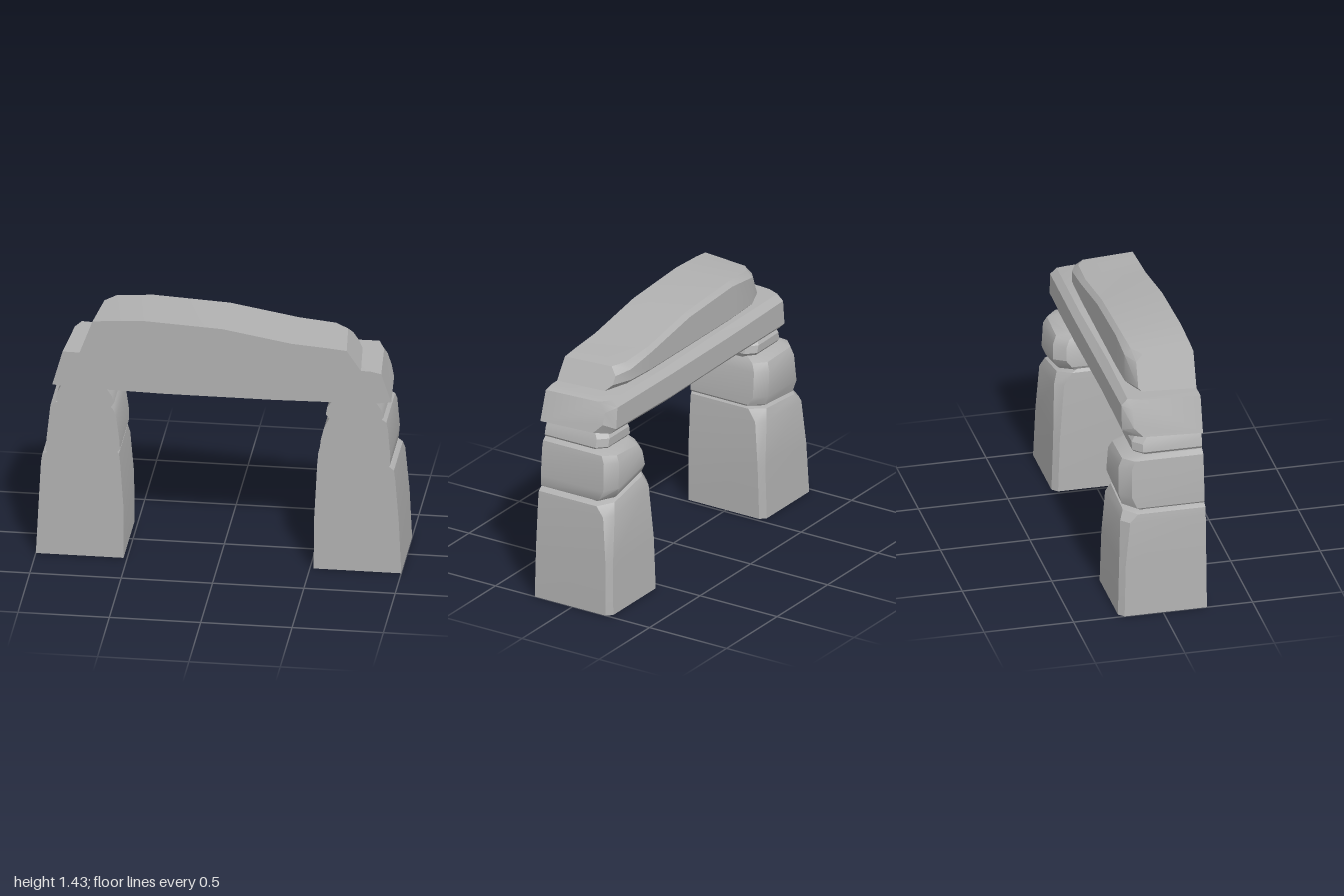
import * as THREE from 'three';
import { toCreasedNormals } from 'three/addons/utils/BufferGeometryUtils.js';

const FRONT = 0.245; // every stone is cut flat at this z

// Skin a stack of closed rings and cap both ends.
function loft(rings) {
  const n = rings[0].length, index = [];
  for (let r = 0; r < rings.length - 1; r++) {
    for (let i = 0; i < n; i++) {
      const j = (i + 1) % n, a = r * n, b = a + n;
      index.push(a + i, a + j, b + j, a + i, b + j, b + i);
    }
  }
  const top = (rings.length - 1) * n;
  for (let i = 1; i < n - 1; i++) {
    index.push(0, i + 1, i, top, top + i, top + i + 1);
  }
  const g = new THREE.BufferGeometry();
  g.setAttribute('position', new THREE.Float32BufferAttribute(rings.flat(2), 3));
  g.setIndex(index);
  return toCreasedNormals(g, 0.5);
}

// Upright stone. Level: [y at -x side, y at +x side, xMin, xMax, zBack, corner bevel]
function block(levels) {
  return loft(levels.map(([yl, yr, x0, x1, zb, c]) => {
    const y = x => yl + (yr - yl) * (x - x0) / (x1 - x0);
    return [[x1, FRONT], [x1, zb + c], [x1 - c, zb], [x0 + c, zb], [x0, zb + c], [x0, FRONT]]
      .map(([x, z]) => [x, y(x), z]);
  }));
}

// Long stone. Section: [x, yBottom, yTop, zBack, bevel, lean in y, lean in z]
function beam(sections) {
  return loft(sections.map(([x, y0, y1, zb, c, ly = 0, lz = 0]) =>
    [[y0, FRONT], [y0, zb + c], [y0 + c, zb], [y1 - c, zb], [y1, zb + c], [y1, FRONT]]
      .map(([y, z]) => [x + ly * (y - y0) + lz * (FRONT - z), y, z])));
}

export function createModel() {
  const stone = new THREE.MeshStandardMaterial({ color: 0xb0b0b0 });
  stone.name = 'grey stone';
  const model = new THREE.Group();
  model.name = 'stoneArch';
  const add = (parent, name, geometry) => {
    const mesh = new THREE.Mesh(geometry, stone);
    mesh.name = name;
    parent.add(mesh);
  };

  // Pillars: three stacked stones each
  const pillars = {
    rightPillar: {
      baseStone: [
        [0, 0, -1, -0.52, -0.245, 0.03],
        [0.3, 0.3, -0.985, -0.52, -0.235, 0.03],
        [0.55, 0.56, -0.972, -0.538, -0.222, 0.045],
        [0.595, 0.625, -0.965, -0.545, -0.2, 0.07],
        [0.61, 0.64, -0.94, -0.56, -0.16, 0.08]],
      middleStone: [
        [0.6, 0.63, -0.93, -0.56, -0.17, 0.07],
        [0.62, 0.65, -0.945, -0.54, -0.2, 0.07],
        [0.69, 0.7, -0.942, -0.542, -0.22, 0.06],
        [0.85, 0.84, -0.925, -0.56, -0.215, 0.06],
        [0.895, 0.885, -0.92, -0.575, -0.195, 0.06],
        [0.915, 0.91, -0.89, -0.595, -0.15, 0.06]],
      topStone: [
        [0.9, 0.9, -0.87, -0.59, -0.11, 0.05],
        [0.93, 0.93, -0.892, -0.572, -0.135, 0.05],
        [0.975, 0.97, -0.882, -0.585, -0.135, 0.05],
        [1.02, 1.02, -0.86, -0.62, -0.1, 0.05]],
    },
    leftPillar: {
      baseStone: [
        [0, 0, 0.52, 1, -0.245, 0.03],
        [0.3, 0.3, 0.523, 0.987, -0.235, 0.03],
        [0.63, 0.56, 0.54, 0.967, -0.222, 0.045],
        [0.7, 0.615, 0.546, 0.96, -0.2, 0.07],
        [0.72, 0.635, 0.57, 0.935, -0.16, 0.08]],
      middleStone: [
        [0.7, 0.62, 0.57, 0.925, -0.17, 0.07],
        [0.73, 0.645, 0.555, 0.938, -0.2, 0.07],
        [0.77, 0.7, 0.558, 0.94, -0.22, 0.06],
        [0.84, 0.86, 0.575, 0.927, -0.215, 0.06],
        [0.88, 0.9, 0.592, 0.918, -0.195, 0.06],
        [0.91, 0.92, 0.61, 0.89, -0.15, 0.06]],
      topStone: [
        [0.9, 0.9, 0.61, 0.88, -0.11, 0.05],
        [0.93, 0.93, 0.587, 0.902, -0.135, 0.05],
        [0.975, 0.975, 0.595, 0.89, -0.135, 0.05],
        [1.02, 1.02, 0.63, 0.86, -0.1, 0.05]],
    },
  };
  for (const [name, stones] of Object.entries(pillars)) {
    const pillar = new THREE.Group();
    pillar.name = name;
    for (const [part, levels] of Object.entries(stones)) add(pillar, part, block(levels));
    model.add(pillar);
  }

  // Lintel slab resting on the pillars
  add(model, 'lintel', beam([
    [-0.91, 1.02, 1.22, -0.13, 0.05, 0.28, 0.08],
    [-0.82, 1.01, 1.22, -0.185, 0.035, 0.1],
    [-0.3, 1, 1.205, -0.178, 0.04],
    [0.3, 1, 1.2, -0.183, 0.035],
    [0.85, 1.01, 1.203, -0.183, 0.035, -0.1],
    [0.945, 1.025, 1.19, -0.13, 0.05, -0.33, -0.08]]));

  // Sloping capstone on top
  add(model, 'capstone', beam([
    [-0.77, 1.195, 1.41, -0.07, 0.04, 0.37, 0.11],
    [-0.6, 1.195, 1.42, -0.118, 0.035],
    [-0.4, 1.195, 1.43, -0.118, 0.025],
    [0.02, 1.195, 1.408, -0.118, 0.025],
    [0.4, 1.195, 1.343, -0.118, 0.025],
    [0.6, 1.195, 1.328, -0.118, 0.035],
    [0.785, 1.195, 1.318, -0.08, 0.04, -0.68, -0.1]]));

  return model;
}
